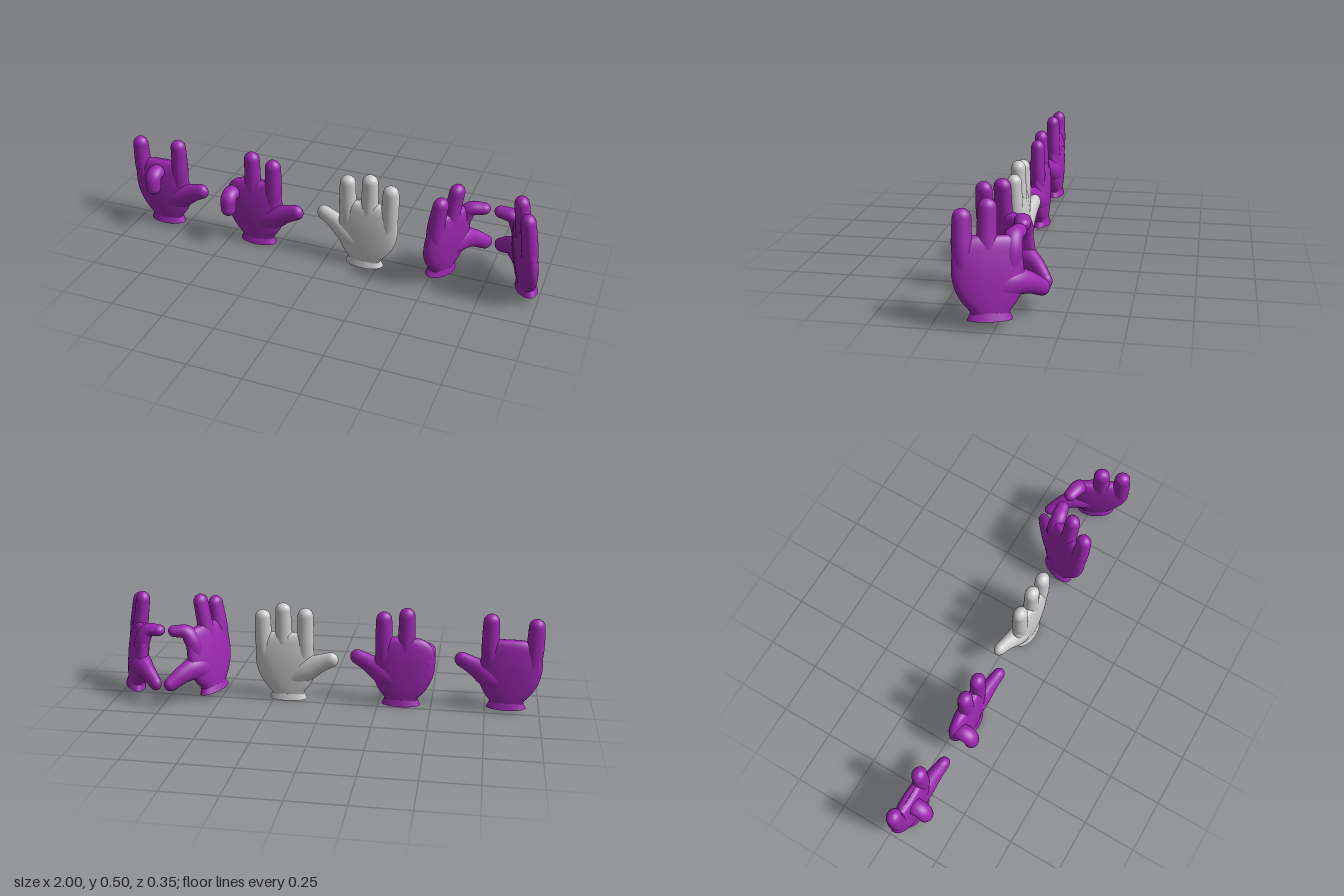
import * as THREE from 'three';

const V = (p) => new THREE.Vector3(p[0], p[1], p[2]);
const SIDES = 28;

// Skins a list of rings (arrays of Vector3); side = -1 mirrors left to right
function loft(rings, side) {
  const pos = [], idx = [], n = rings[0].length;
  rings.forEach((ring) => ring.forEach((v) => pos.push(v.x * side, v.y, v.z)));
  for (let i = 0; i < rings.length - 1; i++) {
    for (let j = 0; j < n; j++) {
      const k = (j + 1) % n;
      const a = i * n + j, b = i * n + k, c = b + n, d = a + n;
      if (side > 0) idx.push(a, b, c, a, c, d);
      else idx.push(a, c, b, a, d, c);
    }
  }
  const g = new THREE.BufferGeometry();
  g.setAttribute('position', new THREE.Float32BufferAttribute(pos, 3));
  g.setIndex(idx);
  g.computeVertexNormals();
  return g;
}

// Tapered round-tipped limb. Points are [x, y, z, radius]; ref sets the wide axis
function limb(points, ref, flat, side) {
  const curve = new THREE.CatmullRomCurve3(points.map(V));
  const radii = new THREE.CatmullRomCurve3(points.map((p) => new THREE.Vector3(p[3], 0, 0)), false, 'catmullrom', 0.5);
  const rings = [];
  const addRing = (c, t, r) => {
    const w = ref.clone().addScaledVector(t, -ref.dot(t)).normalize();
    const d = t.clone().cross(w);
    rings.push(Array.from({ length: SIDES }, (_, j) => {
      const a = (j / SIDES) * Math.PI * 2;
      return c.clone().addScaledVector(w, r * Math.cos(a)).addScaledVector(d, r * flat * Math.sin(a));
    }));
  };
  const steps = 24;
  for (let i = 0; i <= steps; i++) {
    const t = i / steps;
    addRing(curve.getPoint(t), curve.getTangent(t), radii.getPoint(t).x);
  }
  const end = curve.getPoint(1), dir = curve.getTangent(1), r = points[points.length - 1][3];
  for (let k = 1; k <= 8; k++) {
    const a = (k / 8) * Math.PI / 2;
    addRing(end.clone().addScaledVector(dir, r * Math.sin(a)), dir, r * Math.cos(a) + 1e-5);
  }
  return loft(rings, side);
}

// Palm outline: [height, outer edge x, thumb edge x, half depth]
const PALM = [
  [0.018, -0.074, 0.074, 0.037], [0.035, -0.082, 0.08, 0.039], [0.07, -0.112, 0.106, 0.042],
  [0.12, -0.14, 0.128, 0.044], [0.17, -0.153, 0.132, 0.044], [0.22, -0.156, 0.127, 0.042],
  [0.26, -0.152, 0.122, 0.038], [0.29, -0.138, 0.114, 0.034], [0.312, -0.115, 0.1, 0.028],
  [0.326, -0.085, 0.08, 0.018], [0.33, -0.05, 0.05, 0.0005],
];

function palm(side) {
  const outer = new THREE.CatmullRomCurve3(PALM.map(([y, x, , d]) => new THREE.Vector3(x, y, d)));
  const inner = new THREE.CatmullRomCurve3(PALM.map(([y, , x, d]) => new THREE.Vector3(x, y, d)));
  const rings = [];
  const soft = (v) => Math.sign(v) * Math.abs(v) ** 0.88;
  for (let i = 0; i <= 40; i++) {
    const o = outer.getPoint(i / 40), n = inner.getPoint(i / 40);
    rings.push(Array.from({ length: 48 }, (_, j) => {
      const a = (j / 48) * Math.PI * 2, u = (soft(Math.cos(a)) + 1) / 2;
      return new THREE.Vector3(
        o.x + (n.x - o.x) * u, o.y + (n.y - o.y) * u, -Math.max(o.z, 0.0005) * soft(Math.sin(a)));
    }));
  }
  return loft(rings, side);
}

// Finger paths: straight up, or hooked forward over the palm
const straight = (x, top) => [
  [x * 0.85, 0.16, 0, 0.036], [x * 0.97, 0.27, 0, 0.041],
  [x, 0.35, 0, 0.039], [x, top - 0.037, 0, 0.037],
];
const folded = (x, drop) => [
  [x * 0.95, 0.2 - drop, 0, 0.036], [x, 0.252 - drop, 0.006, 0.04], [x, 0.28 - drop, 0.038, 0.039],
  [x, 0.268 - drop, 0.074, 0.038], [x, 0.218 - drop, 0.084, 0.036],
];

const OPEN = {
  outerFinger: straight(-0.118, 0.435),
  middleFinger: straight(-0.02, 0.472),
  indexFinger: straight(0.086, 0.45),
  thumb: [[0.01, 0.105, 0, 0.054], [0.09, 0.152, 0.005, 0.058], [0.16, 0.19, 0.02, 0.043], [0.211, 0.213, 0.03, 0.036]],
};
// Index and thumb arch forward to meet the opposite hand
const HEART = {
  ...OPEN,
  indexFinger: [[0.07, 0.17, 0, 0.036], [0.082, 0.27, 0, 0.041], [0.092, 0.318, 0.018, 0.037], [0.124, 0.332, 0.062, 0.031]],
  thumb: [[0.01, 0.11, 0, 0.052], [0.085, 0.142, 0.005, 0.06], [0.155, 0.134, 0.024, 0.045], [0.222, 0.104, 0.055, 0.034]],
};

function glove(name, color, pose, side = 1) {
  const g = new THREE.Group();
  g.name = name;
  const mat = new THREE.MeshStandardMaterial({ color });
  const add = (part, geo) => {
    const m = new THREE.Mesh(geo, mat);
    m.name = part;
    g.add(m);
  };
  add('palm', palm(side));
  const X = new THREE.Vector3(1, 0, 0), Y = new THREE.Vector3(0, 1, 0);
  for (const part of ['outerFinger', 'middleFinger', 'indexFinger']) add(part, limb(pose[part], X, 0.88, side));
  add('thumb', limb(pose.thumb, Y, 0.78, side));
  // Flared oval cuff
  const cuff = new THREE.CylinderGeometry(0.076, 0.091, 0.032, 40);
  cuff.scale(1, 1, 0.52);
  cuff.translate(0, 0.016, 0);
  add('cuff', cuff);
  return g;
}

export function createModel() {
  const model = new THREE.Group();
  model.name = 'gloveSet';
  const purple = 0x9c27b0;

  const horns = glove('hornsGlove', purple, { ...OPEN, middleFinger: folded(-0.02, 0) });
  horns.position.set(-0.848, 0.016, 0.048);

  const twoUp = glove('twoFingerGlove', purple, { ...OPEN, outerFinger: folded(-0.114, 0.022) });
  twoUp.position.set(-0.358, 0.003, 0.046);

  const open = glove('openGlove', 0xcccccc, OPEN);
  open.position.set(0.184, 0, 0.05);
  open.rotation.y = Math.PI;

  model.add(horns, twoUp, open);

  // Mirrored pair whose thumbs and index fingers meet
  for (const side of [1, -1]) {
    const hand = glove(side > 0 ? 'heartGloveRight' : 'heartGloveLeft', purple, HEART, side);
    hand.position.set(0.74 - side * 0.198, 0.032, 0.022);
    hand.rotation.set(0, side * 1.12, -side * 0.15, 'ZYX');
    model.add(hand);
  }
  return model;
}
